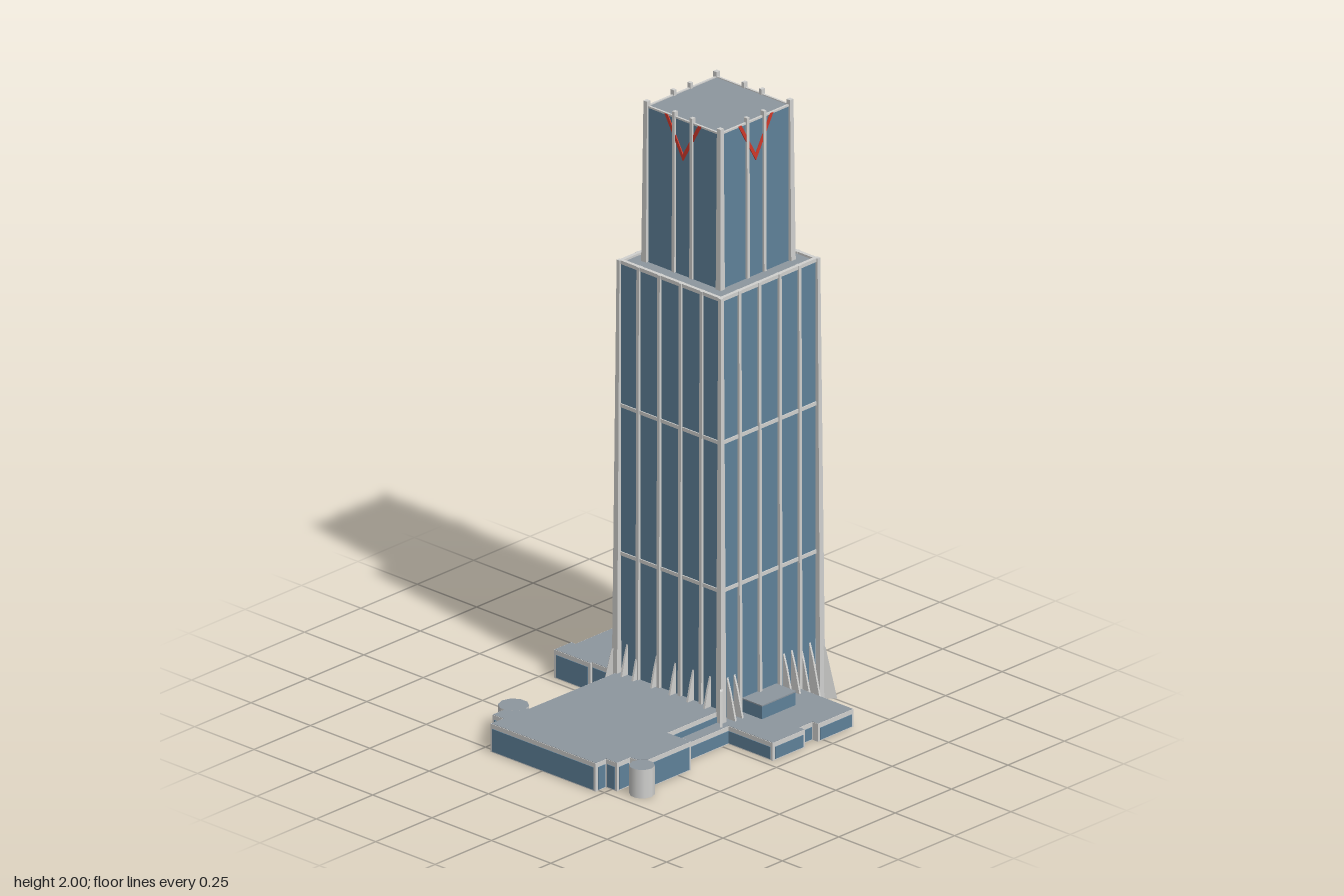
import * as THREE from 'three';

const mat = (name, color) => Object.assign(new THREE.MeshStandardMaterial({ color }), { name });

export function createModel() {
  const glass = mat('blue glass', 0x5f8199);
  const frame = mat('pale frame', 0xd0d0ce);
  const roof = mat('grey roof', 0x8d969e);
  const red = mat('red trim', 0xd0392b);

  const model = new THREE.Group();
  model.name = 'skyscraper';

  const add = (parent, name, geo, material, x = 0, y = 0, z = 0) => {
    const m = new THREE.Mesh(geo, material);
    m.name = name;
    m.position.set(x, y, z);
    parent.add(m);
    return m;
  };
  const box = (parent, name, material, w, h, d, x, y, z) =>
    add(parent, name, new THREE.BoxGeometry(w, h, d), material, x, y, z);
  const shapeOf = pts => new THREE.Shape(pts.map(p => new THREE.Vector2(p[0], p[1])));

  // Upright box from y0 to y1 whose outer face (+z, and +x for corners) leans in by lean at the top
  const pier = (w, d, y0, y1, lean, corner) => {
    const g = new THREE.BoxGeometry(w, y1 - y0, d);
    const p = g.attributes.position;
    for (let i = 0; i < p.count; i++) {
      if (p.getY(i) < 0) continue;
      if (p.getZ(i) > 0) p.setZ(i, p.getZ(i) - lean);
      if (corner && p.getX(i) > 0) p.setX(i, p.getX(i) - lean);
    }
    g.computeVertexNormals();
    return g.translate(0, (y0 + y1) / 2, 0);
  };

  // Thin upright fin; profile is [outward, height], outward along +z
  const finGeo = pts => new THREE.ExtrudeGeometry(shapeOf(pts), { depth: 0.007, bevelEnabled: false })
    .translate(0, 0, -0.0035).rotateY(-Math.PI / 2);

  // ---- Tower ----
  const tower = new THREE.Group();
  tower.name = 'tower';
  tower.position.set(0.253, 0, 0.0155);
  model.add(tower);

  box(tower, 'lowerGlass', glass, 0.424, 1.46, 0.424, 0, 0.73, 0);
  box(tower, 'lowerRoof', roof, 0.422, 0.004, 0.422, 0, 1.461, 0);
  box(tower, 'upperGlass', glass, 0.31, 0.515, 0.31, 0, 1.7205, 0);
  box(tower, 'upperRoof', roof, 0.308, 0.004, 0.308, 0, 1.979, 0);

  const flank = [-0.183, -0.152, 0.067, 0.102, 0.142, 0.182];
  const gable = [-0.183, -0.136, -0.058, 0.02, 0.095, 0.166];
  const fin = finGeo([[0.2, 0], [0.262, 0], [0.226, 0.15], [0.212, 0.195], [0.2, 0.195]]);
  const cornerFin = finGeo([[0.28, 0], [0.362, 0], [0.327, 0.17], [0.3, 0.2], [0.28, 0.2]]);
  const chevron = new THREE.ExtrudeGeometry(shapeOf([
    [-0.077, 1.982], [0, 1.846], [0.077, 1.982], [0.064, 1.982], [0, 1.868], [-0.064, 1.982],
  ]), { depth: 0.006, bevelEnabled: false });

  for (let s = 0; s < 4; s++) {
    const side = new THREE.Group();
    side.name = ['frontSide', 'leftSide', 'backSide', 'rightSide'][s];
    side.rotation.y = s * Math.PI / 2;
    tower.add(side);

    // Mullions and horizontal bands
    for (const x of [-0.133, -0.045, 0.045, 0.133])
      add(side, 'lowerMullion', pier(0.011, 0.02, 0, 1.47, 0.004), frame, x, 0, 0.2125);
    for (const x of [-0.037, 0.037])
      add(side, 'upperMullion', pier(0.011, 0.016, 1.465, 2, 0.002), frame, x, 0, 0.155);
    for (const y of [0.492, 0.986, 1.464])
      box(side, 'band', frame, 0.43, 0.012, 0.012, 0, y, 0.2098);
    box(side, 'upperParapet', frame, 0.31, 0.006, 0.007, 0, 1.981, 0.153);

    // Corner piers
    add(side, 'lowerCornerPier', pier(0.023, 0.023, 0, 1.47, 0.011, true), frame, 0.2195, 0, 0.2195);
    add(side, 'upperCornerPier', pier(0.02, 0.02, 1.465, 2, 0.005, true), frame, 0.157, 0, 0.157);

    // Red chevron near the crown
    add(side, 'chevron', chevron, red, 0, 0, 0.1525);

    // Flared fins at the foot
    const spots = s % 2 ? gable : flank;
    for (const v of spots)
      add(side, 'baseFin', fin, frame, s === 0 || s === 3 ? v : -v, 0, 0);
    add(side, 'cornerFin', cornerFin, frame).rotation.y = Math.PI / 4;
  }

  // ---- Podium wings: roof outline [x, z], glazed walls along every edge but the last ----
  const wing = (name, pts, h) => {
    const g = new THREE.Group();
    g.name = name;
    model.add(g);
    const slab = new THREE.ExtrudeGeometry(shapeOf(pts.map(p => [p[0], -p[1]])), { depth: 0.004, bevelEnabled: false });
    add(g, 'wingRoof', slab.rotateX(-Math.PI / 2), roof, 0, h - 0.004, 0);
    for (let i = 0; i + 1 < pts.length; i++) {
      const [ax, az] = pts[i], [bx, bz] = pts[i + 1];
      const len = Math.hypot(bx - ax, bz - az);
      const wall = new THREE.Group();
      wall.name = 'wall';
      wall.position.set((ax + bx) / 2, 0, (az + bz) / 2);
      wall.rotation.y = Math.atan2(az - bz, bx - ax);
      g.add(wall);
      box(wall, 'wallFrame', frame, len + 0.003, h - 0.001, 0.004, 0, (h - 0.001) / 2, 0);
      if (len > 0.03)
        box(wall, 'wallGlass', glass, len - 0.014, h - 0.02, 0.003, 0, (h - 0.02) / 2 + 0.004, 0.0025);
    }
  };

  wing('rightWing', [
    [0.04, -0.2], [-0.35, -0.205], [-0.41, -0.255], [-0.46, -0.255], [-0.46, -0.21], [-0.513, -0.213],
    [-0.511, 0.225], [-0.465, 0.225], [-0.465, 0.27], [-0.408, 0.27], [-0.405, 0.3], [-0.385, 0.322],
    [-0.195, 0.322], [-0.195, 0.225], [0.04, 0.225],
  ], 0.095);
  wing('lowLink', [[-0.195, 0.225], [-0.195, 0.27], [0.035, 0.27], [0.035, 0.225]], 0.06);
  wing('frontWing', [
    [0.03, 0.225], [0.03, 0.456], [0.17, 0.456], [0.17, 0.434], [0.23, 0.434], [0.23, 0.456],
    [0.384, 0.456], [0.384, 0.225],
  ], 0.06);
  wing('backWing', [
    [0.384, -0.2], [0.384, -0.44], [0.1, -0.44], [0.1, -0.458], [0.027, -0.458], [0.027, -0.31],
    [0.035, -0.31], [0.035, -0.2],
  ], 0.095);

  // Round corner turrets
  for (const [x, z, r] of [[-0.365, -0.26, 0.048], [-0.425, 0.338, 0.04]])
    add(model, 'turret', new THREE.CylinderGeometry(r, r, 0.095, 10), [frame, roof, frame], x, 0.0477, z);

  // Entrance blocks against the tower
  const entrance = (z, y0) => {
    const h = 0.105 - y0;
    box(model, 'entranceBlock', glass, 0.15, h, 0.085, 0.21, y0 + h / 2, z);
    box(model, 'entranceRoof', roof, 0.152, 0.004, 0.087, 0.21, 0.1045, z);
  };
  entrance(0.268, 0.05);
  entrance(-0.262, 0.085);

  return model;
}
